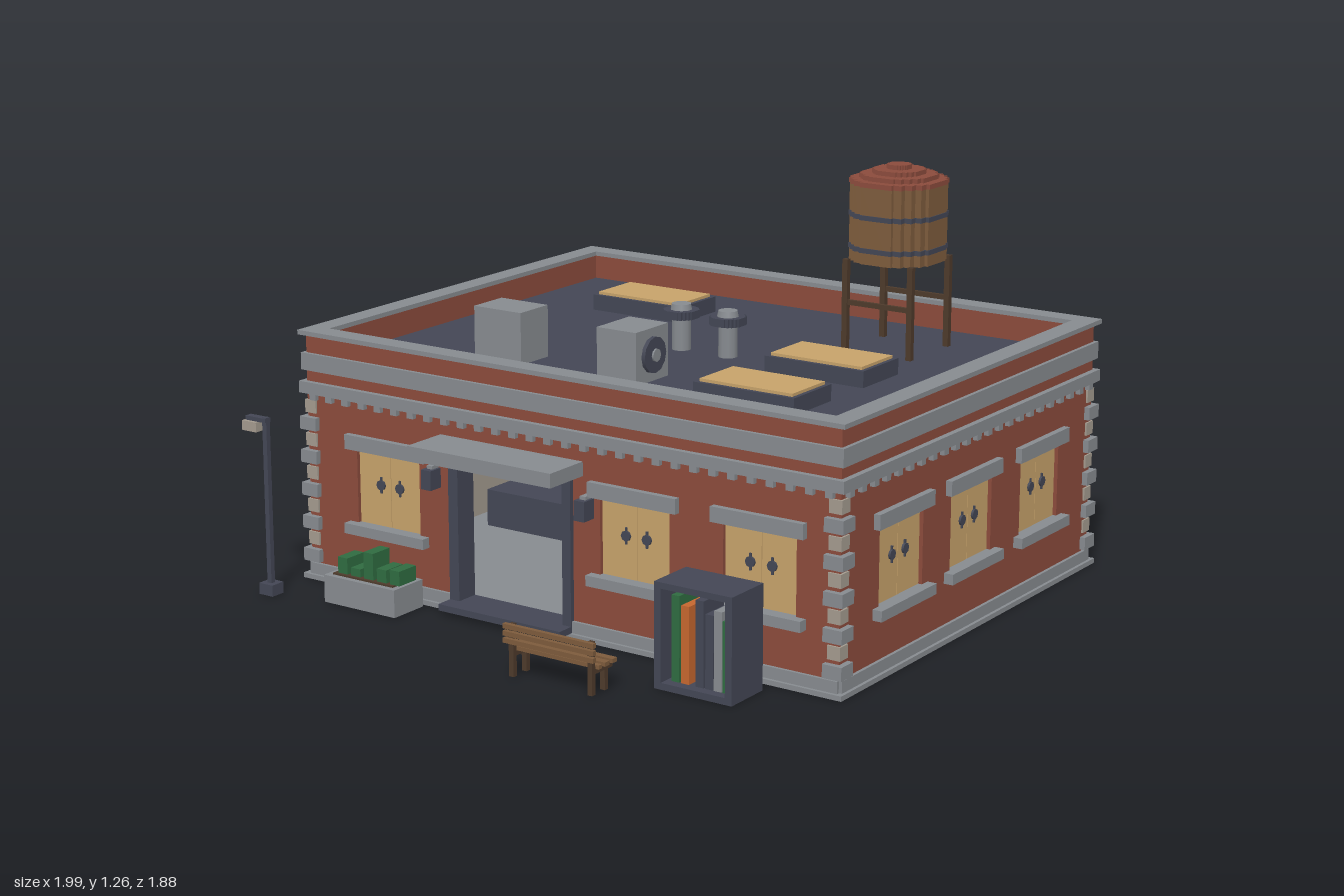
import * as THREE from 'three';

const mat = (name, color) => Object.assign(new THREE.MeshStandardMaterial({ color }), { name });
const brick = mat('brick', 0x8b4b3c), stone = mat('grey stone', 0x868a8f), slate = mat('slate', 0x434654);
const glow = mat('lit pane', 0xc6a26a), wood = mat('oak wood', 0x7d5b3c), dark = mat('dark wood', 0x4d3a2b);
const green = mat('leaf green', 0x2f6b40), orange = mat('orange', 0xc4662f), beige = mat('pale stone', 0xa39a8e);

// Building outline
const CX = 0.015, CZ = -0.175, HX = 0.945, HZ = 0.735, T = 0.05, ROOF = 0.69;

function add(parent, name, geo, m, x = 0, y = 0, z = 0) {
  const mesh = new THREE.Mesh(geo, m);
  mesh.name = name;
  mesh.position.set(x, y, z);
  parent.add(mesh);
  return mesh;
}

// Box given by its limits on each axis
function box(parent, name, m, x0, x1, y0, y1, z0, z1) {
  return add(parent, name, new THREE.BoxGeometry(x1 - x0, y1 - y0, z1 - z0), m,
    (x0 + x1) / 2, (y0 + y1) / 2, (z0 + z1) / 2);
}

function group(parent, name, x = 0, y = 0, z = 0, ry = 0) {
  const g = new THREE.Group();
  g.name = name;
  g.position.set(x, y, z);
  g.rotation.y = ry;
  parent.add(g);
  return g;
}

// Wall sheet with window and door openings
function sheet(half, y0, y1, depth, windows, door) {
  const s = new THREE.Shape();
  const pts = [[-half, y0]];
  if (door) pts.push([door[0], y0], [door[0], door[2]], [door[1], door[2]], [door[1], y0]);
  pts.push([half, y0], [half, y1], [-half, y1]);
  s.setFromPoints(pts.map(p => new THREE.Vector2(...p)));
  for (const x of windows) {
    const hole = new THREE.Path();
    hole.moveTo(x - 0.12, 0.205).lineTo(x - 0.12, 0.437).lineTo(x + 0.12, 0.437).lineTo(x + 0.12, 0.205).closePath();
    s.holes.push(hole);
  }
  return new THREE.ExtrudeGeometry(s, { depth, bevelEnabled: false });
}

// Wall in local space: outer face at z = 0
function wall(parent, name, half, windows, x, z, ry, door) {
  const g = group(parent, name, x, 0, z, ry);
  add(g, 'brickwork', sheet(half, 0, 0.766, T, windows, door), brick, 0, 0, -T);
  add(g, 'innerLining', sheet(half - T, 0.02, ROOF - 0.02, 0.008, windows, door), beige, 0, 0, -T - 0.008);
  for (const wx of windows) {
    const w = group(g, 'window', wx);
    for (const s of [-1, 1]) {
      box(w, 'pane', glow, s < 0 ? -0.12 : 0.001, s < 0 ? -0.001 : 0.12, 0.205, 0.437, -0.022, -0.012);
      const knob = add(w, 'rosette', new THREE.CylinderGeometry(0.016, 0.016, 0.008, 8), slate, s * 0.036, 0.335, -0.009);
      knob.rotation.x = Math.PI / 2;
      box(w, 'rosetteBar', slate, s * 0.036 - 0.003, s * 0.036 + 0.003, 0.31, 0.36, -0.013, -0.007);
    }
    box(w, 'lintel', stone, -0.152, 0.152, 0.437, 0.482, -0.01, 0.02);
    box(w, 'sill', stone, -0.152, 0.152, 0.175, 0.207, -0.02, 0.03);
  }
  // Dentils under the cornice
  const n = Math.round(half * 2 / 0.063);
  for (let i = 0; i < n; i++) {
    const dx = -half + (i + 0.5) * half * 2 / n;
    box(g, 'dentil', stone, dx - 0.012, dx + 0.012, 0.567, 0.588, -0.005, 0.015);
  }
}

// Rectangular band around the building
function band(parent, name, m, y0, y1, out, inset) {
  const X = HX + out, Z = HZ + out, g = group(parent, name, CX, 0, CZ);
  for (const s of [-1, 1]) {
    add(g, 'run', new THREE.BoxGeometry(X * 2, y1 - y0, out + inset), m, 0, (y0 + y1) / 2, s * (Z - (out + inset) / 2));
    add(g, 'run', new THREE.BoxGeometry(out + inset, y1 - y0, 2 * (HZ - inset)), m, s * (X - (out + inset) / 2), (y0 + y1) / 2, 0);
  }
}

// Stepped disc, lying flat, rising from its base
function steppedDisc(r, h) {
  const quarter = [[1, 0.4], [0.92, 0.4], [0.92, 0.6], [0.77, 0.6], [0.77, 0.77], [0.6, 0.77], [0.6, 0.92], [0.4, 0.92], [0.4, 1]];
  const pts = [];
  for (let k = 0; k < 4; k++) {
    for (const [a, b] of quarter) {
      const c = [1, 0, -1, 0][k], s = [0, 1, 0, -1][k];
      pts.push(new THREE.Vector2((a * c - b * s) * r, (a * s + b * c) * r));
    }
  }
  return new THREE.ExtrudeGeometry(new THREE.Shape(pts), { depth: h, bevelEnabled: false }).rotateX(-Math.PI / 2);
}

function roofTop(m) {
  box(m, 'roofDeck', slate, CX - HX + T, CX + HX - T, ROOF - 0.02, ROOF, CZ - HZ + T, CZ + HZ - T);
  for (const [x, z] of [[-0.435, -0.565], [0.467, -0.185], [0.467, 0.192]]) {
    const g = group(m, 'skylight', x, ROOF, z);
    box(g, 'curb', slate, -0.17, 0.17, 0, 0.05, -0.1, 0.1);
    box(g, 'skylightPane', glow, -0.157, 0.157, 0.05, 0.059, -0.087, 0.087);
  }
  for (const [x, z, w, d, ry] of [[-0.433, 0.193, 0.175, 0.135, Math.PI], [0.015, 0.193, 0.165, 0.14, Math.PI / 2]]) {
    const g = group(m, 'coolingUnit', x, ROOF, z, ry);
    box(g, 'casing', stone, -w / 2, w / 2, 0, 0.16, -d / 2, d / 2);
    const fan = add(g, 'fan', new THREE.CylinderGeometry(0.055, 0.055, 0.012, 12), slate, 0, 0.08, d / 2 + 0.006);
    fan.rotation.x = Math.PI / 2;
    const hub = add(g, 'fanHub', new THREE.CylinderGeometry(0.02, 0.02, 0.008, 8), stone, 0, 0.08, d / 2 + 0.014);
    hub.rotation.x = Math.PI / 2;
  }
  for (const x of [-0.07, 0.1]) {
    const g = group(m, 'roofVent', x, ROOF, -0.185);
    add(g, 'ventStem', new THREE.CylinderGeometry(0.03, 0.03, 0.1, 10), stone, 0, 0.05);
    add(g, 'ventCap', steppedDisc(0.052, 0.025), slate, 0, 0.1);
    add(g, 'ventTop', new THREE.CylinderGeometry(0.03, 0.034, 0.018, 10), stone, 0, 0.134);
  }
  // Water tank on legs
  const t = group(m, 'waterTank', 0.465, 0, -0.565);
  for (const s of [-1, 1]) {
    for (const u of [-1, 1]) box(t, 'tankLeg', dark, s * 0.113 - 0.009, s * 0.113 + 0.009, ROOF, 0.975, u * 0.113 - 0.009, u * 0.113 + 0.009);
    box(t, 'brace', dark, -0.113, 0.113, 0.835, 0.85, s * 0.113 - 0.006, s * 0.113 + 0.006);
  }
  add(t, 'barrel', steppedDisc(0.135, 0.24), wood, 0, 0.97);
  for (const y of [1.005, 1.105]) add(t, 'hoop', steppedDisc(0.138, 0.015), slate, 0, y);
  [0.138, 0.11, 0.075, 0.035].forEach((r, i) => add(t, 'tankLid', steppedDisc(r, 0.015), brick, 0, 1.205 + i * 0.014));
}

function entrance(m) {
  const g = group(m, 'entrance');
  for (const [a, b] of [[-0.38, -0.345], [0.035, 0.065]]) box(g, 'doorJamb', slate, a, b, 0.015, 0.49, 0.5, 0.575);
  box(g, 'doorHead', slate, -0.345, 0.035, 0.455, 0.49, 0.5, 0.575);
  box(g, 'canopy', stone, -0.417, 0.1, 0.49, 0.533, 0.55, 0.715);
  box(g, 'doorStep', slate, -0.38, 0.065, 0.015, 0.035, 0.5, 0.63);
  for (const x of [-0.437, 0.12]) {
    box(g, 'wallLamp', slate, x - 0.018, x + 0.018, 0.37, 0.43, 0.56, 0.608);
    box(g, 'lampBracket', stone, x - 0.01, x + 0.01, 0.43, 0.44, 0.56, 0.59);
  }
}

function interior(m) {
  const g = group(m, 'interior');
  box(g, 'floor', stone, CX - HX + T, CX + HX - T, 0.008, 0.02, CZ - HZ + T, CZ + HZ - T);
  // Cabinets along the back wall with stock on the shelf
  for (const x of [-0.62, -0.17, 0.28]) {
    box(g, 'cabinet', slate, x - 0.215, x + 0.215, 0.004, 0.16, -0.85, -0.73);
    box(g, 'cabinetBack', slate, x - 0.215, x + 0.215, 0.16, 0.29, -0.85, -0.83);
    box(g, 'shelf', wood, x - 0.215, x + 0.215, 0.25, 0.26, -0.83, -0.76);
    for (let i = 0; i < 6; i++) {
      const px = x - 0.17 + i * 0.068;
      box(g, 'shelfItem', [wood, orange, green][i % 3], px - 0.014, px + 0.014, 0.26, 0.285 + (i % 2) * 0.02, -0.82, -0.78);
    }
    for (const s of [-0.1, 0.1]) box(g, 'drawerPull', stone, x + s - 0.025, x + s + 0.025, 0.08, 0.088, -0.73, -0.722);
  }
  box(g, 'counter', slate, -0.78, -0.48, 0.004, 0.14, -0.3, -0.12);
  box(g, 'displayTable', slate, 0.38, 0.68, 0.004, 0.14, -0.33, -0.15);
  box(g, 'sideCabinet', slate, 0.77, 0.88, 0.004, 0.2, -0.25, 0.15);
  box(g, 'post', beige, -0.12, -0.085, 0.02, 0.25, -0.5, -0.46);
}

function streetFurniture(m) {
  // Planter
  const p = group(m, 'planter');
  box(p, 'trough', stone, -0.74, -0.47, 0, 0.085, 0.592, 0.725);
  box(p, 'soil', dark, -0.72, -0.49, 0.085, 0.09, 0.61, 0.707);
  [0.14, 0.115, 0.172, 0.13, 0.135].forEach((h, i) => {
    const x = -0.69 + i * 0.05;
    box(p, 'plant', green, x - 0.018, x + 0.018, 0.09, h, 0.62, 0.697);
  });
  // Street lamp
  const l = group(m, 'streetLamp', -0.925, 0, 0.755);
  box(l, 'lampBase', slate, -0.026, 0.026, 0, 0.035, -0.025, 0.025);
  box(l, 'lampPost', slate, -0.008, 0.008, 0.035, 0.55, -0.008, 0.008);
  box(l, 'lampArm', slate, -0.07, 0.008, 0.535, 0.548, -0.012, 0.012);
  box(l, 'lampHead', beige, -0.075, -0.02, 0.505, 0.535, -0.023, 0.023);
  // Bench facing the shop
  const b = group(m, 'bench', 0.255);
  for (const z of [0.84, 0.875]) box(b, 'seatSlat', wood, -0.155, 0.155, 0.075, 0.087, z - 0.011, z + 0.011);
  box(b, 'seatSlat', wood, -0.155, 0.155, 0.075, 0.087, 0.9, 0.915);
  for (const y of [0.1, 0.121, 0.142]) box(b, 'backSlat', wood, -0.155, 0.155, y, y + 0.014, 0.928, 0.942);
  for (const x of [-0.135, 0.135]) {
    box(b, 'rearLeg', dark, x - 0.008, x + 0.008, 0, 0.155, 0.915, 0.93);
    box(b, 'frontLeg', dark, x - 0.008, x + 0.008, 0, 0.075, 0.855, 0.871);
    box(b, 'seatRail', dark, x - 0.008, x + 0.008, 0.06, 0.075, 0.835, 0.915);
  }
  // Open rack with upright boards
  const r = group(m, 'boardRack');
  for (const x of [0.5, 0.733]) box(r, 'rackSide', slate, x, x + 0.022, 0, 0.31, 0.625, 0.78);
  box(r, 'rackTop', slate, 0.522, 0.733, 0.292, 0.31, 0.625, 0.78);
  box(r, 'rackFloor', slate, 0.522, 0.733, 0, 0.02, 0.625, 0.78);
  [[0.55, 0.27, green], [0.582, 0.245, orange], [0.63, 0.27, slate], [0.662, 0.235, slate], [0.69, 0.25, stone], [0.718, 0.225, green]]
    .forEach(([x, h, c]) => box(r, 'board', c, x - 0.013, x + 0.013, 0.02, h, 0.65, 0.75));
}

export function createModel() {
  const m = new THREE.Group();
  m.name = 'brickShop';
  const Q = Math.PI / 2, side = [0.235, -0.163, -0.58];
  wall(m, 'frontWall', HX, [-0.62, 0.28, 0.7].map(x => x - CX), CX, CZ + HZ, 0, [-0.38 - CX, 0.065 - CX, 0.49]);
  wall(m, 'backWall', HX, [-0.605, -0.19, 0.22, 0.635].map(x => CX - x), CX, CZ - HZ, Math.PI);
  wall(m, 'leftWall', HZ, side.map(z => CZ - z), CX + HX, CZ, Q);
  wall(m, 'rightWall', HZ, side.map(z => z - CZ), CX - HX, CZ, -Q);

  // Footing, cornice bands and parapet cap
  band(m, 'footing', stone, 0, 0.015, 0.02, 0.02);
  band(m, 'cornice', stone, 0.586, 0.622, 0.018, 0.01);
  band(m, 'frieze', stone, 0.657, 0.71, 0.012, 0.01);
  band(m, 'parapetCap', stone, 0.766, 0.78, 0.018, T);

  // Plinth, broken at the doorway
  for (const [a, b] of [[-0.93, -0.38], [0.065, 0.96]]) box(m, 'plinth', stone, a, b, 0.015, 0.05, 0.55, 0.57);
  box(m, 'plinth', stone, -0.93, 0.96, 0.015, 0.05, -0.92, -0.9);
  for (const s of [-1, 1]) add(m, 'plinth', new THREE.BoxGeometry(0.02, 0.035, HZ * 2), stone, CX + s * HX, 0.0325, CZ);

  // Alternating corner quoins
  for (const sx of [-1, 1]) for (const sz of [-1, 1]) for (let i = 0; i < 10; i++) {
    const long = i % 2 === 0, w = long ? 0.062 : 0.042, out = long ? 0.018 : 0.006;
    add(m, 'quoin', new THREE.BoxGeometry(w, 0.04, w), long ? stone : beige,
      CX + sx * (HX + out - w / 2), 0.076 + i * 0.052, CZ + sz * (HZ + out - w / 2));
  }
  entrance(m);
  interior(m);
  roofTop(m);
  streetFurniture(m);
  return m;
}
